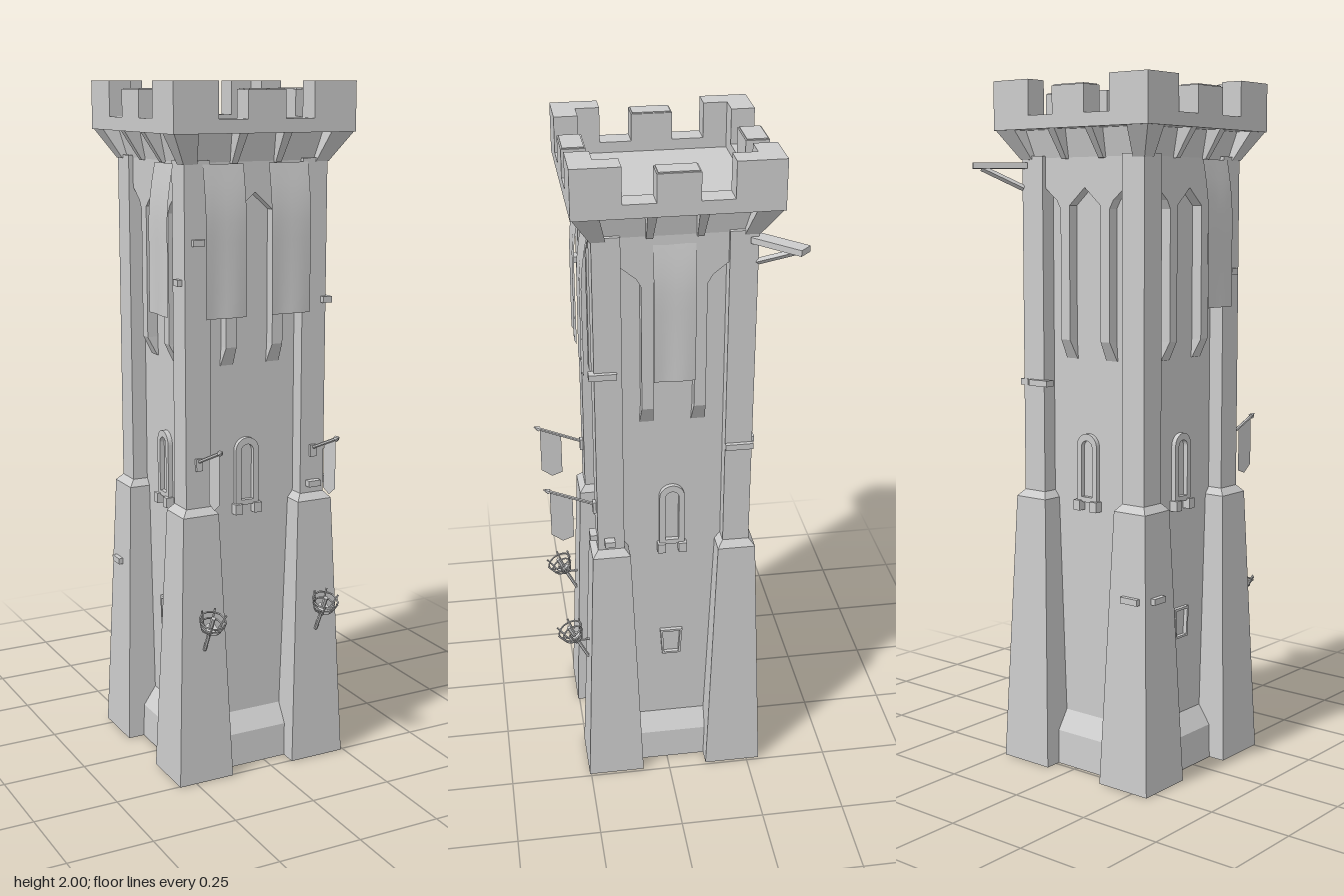
import * as THREE from 'three';

const stone = new THREE.MeshStandardMaterial({ color: 0xcccccc, flatShading: true });
const thin = new THREE.MeshStandardMaterial({ color: 0xcccccc, side: THREE.DoubleSide });
const V = (x, y, z) => new THREE.Vector3(x, y, z);

function add(parent, name, geometry, material = stone) {
  const mesh = new THREE.Mesh(geometry, material);
  mesh.name = name;
  parent.add(mesh);
  return mesh;
}

// Box given by its limits
function block(parent, name, x0, x1, y0, y1, z0, z1) {
  const m = add(parent, name, new THREE.BoxGeometry(x1 - x0, y1 - y0, z1 - z0));
  m.position.set((x0 + x1) / 2, (y0 + y1) / 2, (z0 + z1) / 2);
  return m;
}

// Tapered block between two rectangles [x0, x1, z0, z1]
function taper(parent, name, y0, a, y1, b) {
  const g = new THREE.BoxGeometry(1, 1, 1);
  const p = g.attributes.position;
  for (let i = 0; i < p.count; i++) {
    const r = p.getY(i) < 0 ? a : b;
    p.setXYZ(i, p.getX(i) < 0 ? r[0] : r[1], p.getY(i) < 0 ? y0 : y1, p.getZ(i) < 0 ? r[2] : r[3]);
  }
  g.computeVertexNormals();
  return add(parent, name, g);
}

// Straight round or square bar between two points
function bar(parent, name, a, b, r0, r1 = r0, sides = 6) {
  const m = add(parent, name, new THREE.CylinderGeometry(r1, r0, a.distanceTo(b), sides));
  m.position.copy(a).add(b).multiplyScalar(0.5);
  m.quaternion.setFromUnitVectors(V(0, 1, 0), b.clone().sub(a).normalize());
  return m;
}

const square = (h) => [-h, h, -h, h];
const polygon = (pts) => new THREE.Shape(pts.map(([x, y]) => new THREE.Vector2(x, y)));
const WALL = 0.178, RIB = 0.21;

function archPath(w, y0, spring, PathType) {
  const s = new PathType();
  s.moveTo(-w, y0);
  s.lineTo(w, y0);
  s.lineTo(w, spring);
  s.absarc(0, spring, w, 0, Math.PI, false);
  s.lineTo(-w, y0);
  return s;
}

function archedWindow(parent, x) {
  const win = new THREE.Group();
  win.name = 'archedWindow';
  win.position.set(x, 0, WALL);
  const frame = archPath(0.037, 0.8, 0.963, THREE.Shape);
  frame.holes.push(archPath(0.02, 0.815, 0.96, THREE.Path));
  add(win, 'windowFrame', new THREE.ExtrudeGeometry(frame, { depth: 0.014, bevelEnabled: false, curveSegments: 8 }));
  for (const s of [-1, 1]) block(win, 'windowFoot', s * 0.031 - 0.012, s * 0.031 + 0.012, 0.775, 0.805, -0.005, 0.024);
  parent.add(win);
}

function squareWindow(parent) {
  const s = polygon([[-0.028, 0.39], [0.028, 0.39], [0.034, 0.48], [-0.034, 0.48]]);
  s.holes.push(new THREE.Path([[-0.022, 0.396], [-0.027, 0.473], [0.027, 0.473], [0.022, 0.396]].map((p) => new THREE.Vector2(...p))));
  add(parent, 'squareWindowFrame', new THREE.ExtrudeGeometry(s, { depth: 0.012, bevelEnabled: false })).position.z = WALL;
}

// Hanging cloth that bulges out a little toward the hem
function banner(parent, x, width, z) {
  const g = new THREE.PlaneGeometry(width, 0.42, 6, 8);
  const p = g.attributes.position;
  for (let i = 0; i < p.count; i++) {
    const t = 0.5 - p.getY(i) / 0.42;
    p.setZ(i, 0.02 * Math.sin(Math.min(1, t * 2.5) * Math.PI / 2) + 0.003 * t * Math.sin(p.getX(i) * 60));
  }
  g.computeVertexNormals();
  add(parent, 'banner', g, thin).position.set(x, 1.57, z);
}

// One side of the tower, facing +z
function makeSide() {
  const side = new THREE.Group();
  taper(side, 'plinth', 0, [-0.13, 0.13, 0.1, 0.222], 0.1, [-0.13, 0.13, 0.1, 0.217]);
  taper(side, 'plinthSlope', 0.1, [-0.13, 0.13, 0.1, 0.217], 0.155, [-0.13, 0.13, 0.1, WALL]);

  // Blind arcade: one pointed arch between two half arches
  const half = [[0.057, 1.65], [0.057, 1.27], [0.09, 1.27], [0.09, 1.64], [0.104, 1.665], [0.148, 1.70]];
  const arcade = polygon([[-0.148, 1.79], ...half.map(([x, y]) => [-x, y]).reverse(), [0, 1.70], ...half, [0.148, 1.79]]);
  add(side, 'arcade', new THREE.ExtrudeGeometry(arcade, { depth: RIB - 0.17, bevelEnabled: false })).position.z = 0.17;
  for (const s of [-1, 1]) {
    const c = s * 0.0735;
    taper(side, 'ribFoot', 1.215, [c - 0.02, c + 0.02, 0.165, WALL + 0.003], 1.27, [c - 0.0165, c + 0.0165, 0.165, RIB]);
    // Corbels under the parapet
    taper(side, 'corbel', 1.78, [s * 0.068 - 0.009, s * 0.068 + 0.009, 0.15, 0.22], 1.865, [s * 0.068 - 0.013, s * 0.068 + 0.013, 0.15, 0.276]);
  }

  // Middle merlon with a slightly raised cap edge
  block(side, 'middleMerlon', -0.058, 0.058, 1.89, 1.977, 0.214, 0.28);
  block(side, 'merlonCap', -0.054, 0.054, 1.977, 1.98, 0.218, 0.276);
  block(side, 'parapet', -0.28, 0.28, 1.862, 1.9, 0.214, 0.28);
  return side;
}

// One corner, at +x +z
function makeCorner() {
  const c = new THREE.Group();
  const r = (a, b) => [a, b, a, b];
  taper(c, 'buttress', 0, r(0.1, 0.272), 0.8, r(0.13, 0.241));
  taper(c, 'buttressCap', 0.8, r(0.13, 0.241), 0.82, r(0.146, 0.2235));
  block(c, 'cornerPier', 0.146, 0.2235, 0.81, 1.79, 0.146, 0.2235);
  taper(c, 'cornerCorbel', 1.78, r(0.185, 0.226), 1.865, r(0.205, 0.278));
  const L = polygon([[0.28, 0.28], [0.147, 0.28], [0.147, 0.214], [0.214, 0.214], [0.214, 0.147], [0.28, 0.147]]);
  const g = new THREE.ExtrudeGeometry(L, { depth: 0.105, bevelEnabled: false });
  // Lay the L flat; the outline is symmetric in x and z
  g.rotateX(-Math.PI / 2).rotateY(-Math.PI / 2);
  add(c, 'cornerMerlon', g).position.y = 1.895;
  return c;
}

function makeTorch(x) {
  const t = new THREE.Group();
  t.name = 'torch';
  t.position.set(x, 0, 0);
  bar(t, 'torchStem', V(0, 0.405, 0.258), V(0, 0.52, 0.315), 0.005, 0.007);
  bar(t, 'torchWallArm', V(0, 0.47, 0.24), V(0, 0.47, 0.29), 0.004);
  const basket = new THREE.Group();
  basket.name = 'fireBasket';
  basket.position.set(0, 0.475, 0.295);
  basket.rotation.x = 0.42;
  for (const [y, rad] of [[0.04, 0.038], [0.022, 0.032]]) {
    const ring = add(basket, 'basketRing', new THREE.TorusGeometry(rad, 0.0028, 5, 12));
    ring.rotation.x = Math.PI / 2;
    ring.position.y = y;
  }
  for (let i = 0; i < 6; i++) {
    const curve = new THREE.CatmullRomCurve3([V(0, -0.012, 0), V(0.024, 0.004, 0), V(0.034, 0.028, 0), V(0.042, 0.052, 0)]);
    add(basket, 'basketBar', new THREE.TubeGeometry(curve, 6, 0.003, 5)).rotation.y = i * Math.PI / 3;
  }
  add(basket, 'basketBowl', new THREE.ConeGeometry(0.02, 0.025, 6)).rotation.x = Math.PI;
  t.add(basket);
  return t;
}

function makeFlag(x) {
  const f = new THREE.Group();
  f.name = 'flag';
  f.position.x = x;
  bar(f, 'flagPole', V(0, 0.945, 0.2), V(0, 1.01, 0.357), 0.005);
  bar(f, 'flagPoleTip', V(0, 1.01, 0.357), V(0, 1.018, 0.374), 0.009, 0.001);
  block(f, 'poleMount', -0.01, 0.01, 0.93, 0.965, 0.2, 0.233);
  const cloth = polygon([[0.29, 0.98], [0.355, 1.005], [0.355, 0.862], [0.322, 0.838], [0.29, 0.85]]);
  add(f, 'flagCloth', new THREE.ShapeGeometry(cloth), thin).rotation.y = -Math.PI / 2;
  return f;
}

export function createModel() {
  const root = new THREE.Group();
  root.name = 'tower';
  const body = new THREE.Group();
  body.name = 'towerBody';
  body.position.set(-0.03, 0, -0.0175);
  root.add(body);

  taper(body, 'towerCore', 0, square(WALL), 1.78, square(WALL));
  taper(body, 'corbelWall', 1.775, square(0.208), 1.865, square(0.228));
  block(body, 'roofFloor', -0.22, 0.22, 1.855, 1.87, -0.22, 0.22);

  const names = ['front', 'left', 'back', 'right'];
  const sides = names.map((n, i) => {
    const side = makeSide(), corner = makeCorner();
    side.name = n + 'Side';
    corner.name = n + 'Corner';
    side.rotation.y = corner.rotation.y = i * Math.PI / 2;
    body.add(side, corner);
    archedWindow(side, i % 2 ? 0 : -0.012);
    return side;
  });
  const [front, left, back, right] = sides;
  squareWindow(left);
  squareWindow(right);

  // Hanging banners
  banner(front, -0.107, 0.125, 0.226);
  banner(front, 0.097, 0.125, 0.226);
  banner(left, 0, 0.116, 0.206);
  banner(right, 0.1, 0.12, 0.226);

  // Wall torches and small flags on both front corners
  for (const s of [-1, 1]) {
    body.add(makeTorch(s * 0.185), makeFlag(s * 0.185));
  }

  // Odd timber ends sticking out of the masonry: side, x, y, z, length
  const timbers = [
    [left, -0.2, 1.39, 0.222, 0.078], [left, 0.186, 1.14, 0.222, 0.08], [left, -0.19, 0.85, 0.235, 0.03],
    [front, -0.185, 1.57, 0.222, 0.035], [front, 0.185, 0.85, 0.23, 0.04], [back, 0.2, 0.555, 0.25, 0.06],
    [back, -0.16, 1.14, 0.222, 0.07], [right, -0.2, 0.555, 0.25, 0.05], [right, 0.19, 1.46, 0.222, 0.03],
  ];
  for (const [side, x, y, z, len] of timbers) {
    block(side, 'timberEnd', x - len / 2, x + len / 2, y - 0.009, y + 0.009, z - 0.015, z + 0.014);
  }

  // Hoisting beam on the back left corner
  const hoist = new THREE.Group();
  hoist.name = 'hoist';
  hoist.position.set(0.19, 0, -0.24);
  hoist.rotation.y = 0.8;
  block(hoist, 'hoistBeam', -0.01, 0.145, 1.755, 1.772, -0.022, 0.022);
  bar(hoist, 'hoistBrace', V(0, 1.7, 0), V(0.12, 1.757, 0), 0.009, 0.009, 4);
  root.add(hoist);
  return root;
}
